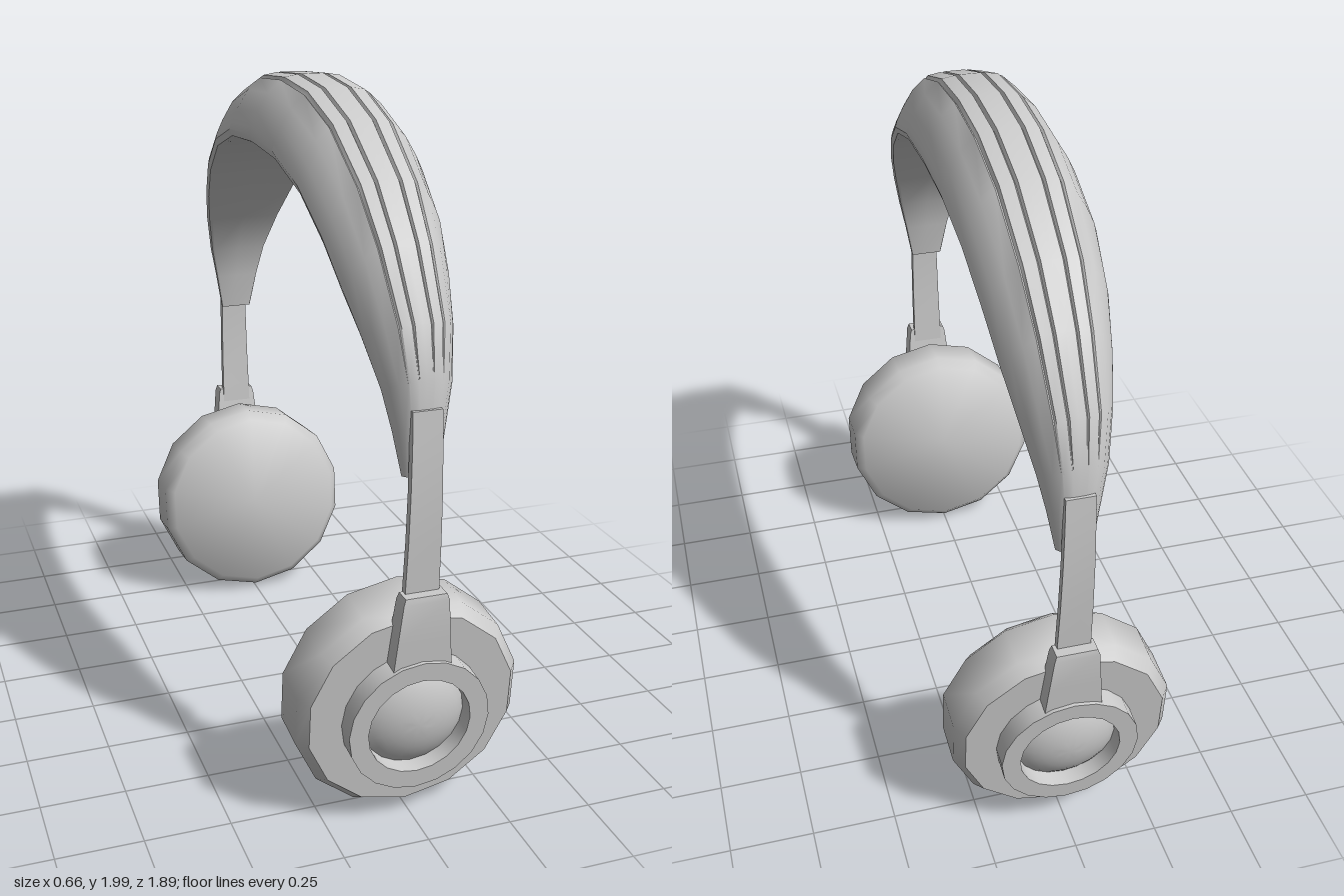
import * as THREE from 'three';
import { toCreasedNormals } from 'three/addons/utils/BufferGeometryUtils.js';

const material = new THREE.MeshStandardMaterial({ color: 0xcccccc });

function part(name, geometry, crease) {
  const mesh = new THREE.Mesh(toCreasedNormals(geometry, crease), material);
  mesh.name = name;
  return mesh;
}

// Skin a list of closed rings of Vector3 and cap both ends.
function loft(rings) {
  const n = rings[0].length, last = rings.length - 1;
  const points = rings.flat(), index = [];
  for (let i = 0; i < last; i++) {
    for (let j = 0; j < n; j++) {
      const k = (j + 1) % n;
      const a = i * n + j, b = i * n + k, c = b + n, d = a + n;
      index.push(a, b, c, a, c, d);
    }
  }
  for (const end of [0, last]) {
    const centre = new THREE.Vector3();
    rings[end].forEach(p => centre.addScaledVector(p, 1 / n));
    const c = points.push(centre) - 1;
    for (let j = 0; j < n; j++) {
      const a = end * n + j, b = end * n + (j + 1) % n;
      if (end === 0) index.push(c, b, a);
      else index.push(c, a, b);
    }
  }
  const geometry = new THREE.BufferGeometry().setFromPoints(points);
  geometry.setIndex(index);
  return geometry;
}

// Rectangular bar; each station is [y, outer z, inner z, half width].
function bar(stations) {
  return loft(stations.map(([y, zo, zi, w]) => [
    new THREE.Vector3(-w, y, zo), new THREE.Vector3(w, y, zo),
    new THREE.Vector3(w, y, zi), new THREE.Vector3(-w, y, zi)]));
}

function lathe(profile, sides) {
  return new THREE.LatheGeometry(profile.map(([r, y]) => new THREE.Vector2(r, y)), sides);
}

// Padded arch: crescent section with four grooves, narrowing to each foot.
function makeHeadband() {
  // [outer z, outer y, inner z, inner y, half width, groove strength]
  const half = [
    [0.900, 1.06, 0.869, 1.06, 0.053, 0],
    [0.908, 1.20, 0.850, 1.18, 0.076, 0],
    [0.906, 1.325, 0.826, 1.287, 0.100, 0.1],
    [0.869, 1.467, 0.747, 1.415, 0.130, 0.7],
    [0.747, 1.65, 0.670, 1.51, 0.153, 1],
    [0.615, 1.79, 0.570, 1.62, 0.172, 1],
    [0.410, 1.92, 0.420, 1.725, 0.187, 1],
    [0.210, 1.983, 0.220, 1.787, 0.195, 1],
  ];
  const stations = [...half, [0, 2, 0, 1.802, 0.197, 1],
    ...half.map(([zo, yo, zi, ...rest]) => [-zo, yo, -zi, ...rest]).reverse()];
  // Half section: [across, inner to outer, groove depth]
  const side = [
    [0.17, 1, 0], [0.2, 1, 0.06], [0.23, 0.995, 0], [0.44, 0.96, 0], [0.47, 0.95, 0.06],
    [0.5, 0.92, 0], [0.7, 0.74, 0], [0.87, 0.46, 0], [0.97, 0.25, 0], [1, 0.14, 0],
    [0.96, 0.03, 0], [0.88, 0, 0],
  ];
  const section = [[0, 1, 0], ...side, [0, 0.03, 0],
    ...side.map(([u, v, g]) => [-u, v, g]).reverse()];
  const rings = stations.map(([zo, yo, zi, yi, w, strength]) =>
    section.map(([u, v, g]) => {
      const t = v - g * strength;
      return new THREE.Vector3(u * w, yi + (yo - yi) * t, zi + (zo - zi) * t);
    }));
  return part('headband', loft(rings), 0.62);
}

// One side: sliding strap, bracket and tilted ear cup.
function makeEarpiece(name) {
  const group = new THREE.Group();
  group.name = name;

  group.add(part('sliderStrap', bar([
    [0.66, 0.905, 0.882, 0.05], [0.75, 0.91, 0.887, 0.049], [0.88, 0.919, 0.896, 0.047],
    [1.02, 0.923, 0.9, 0.045], [1.15, 0.921, 0.898, 0.043], [1.25, 0.916, 0.89, 0.042],
  ]), 0.5));

  group.add(part('bracket', bar([
    [0.51, 0.927, 0.85, 0.085], [0.6, 0.934, 0.87, 0.077],
    [0.715, 0.943, 0.888, 0.066], [0.733, 0.94, 0.891, 0.06],
  ]), 0.4));

  // Cup parts are turned about an axis that leans slightly downwards.
  const cup = new THREE.Group();
  cup.name = 'earCup';
  cup.position.set(0, 0.353, 0.76);
  cup.rotation.x = Math.PI / 2 + 0.104;
  cup.add(part('earCushion', lathe([
    [0, -0.097], [0.308, -0.097], [0.337, -0.066], [0.337, 0.06], [0.308, 0.097], [0, 0.097],
  ], 14), 0.86));

  const housing = part('housingRing', lathe([
    [0.208, 0.05], [0.208, 0.16], [0.152, 0.16], [0.15, 0.11],
  ], 20), 0.6);
  const domeProfile = [];
  for (let i = 0; i <= 6; i++) {
    const a = (1 - i / 6) * 0.75;
    domeProfile.push([0.15 * Math.sin(a) / Math.sin(0.75),
      0.112 + 0.046 * (Math.cos(a) - Math.cos(0.75)) / (1 - Math.cos(0.75))]);
  }
  const dome = part('housingDome', lathe(domeProfile, 20), 0.6);
  for (const mesh of [housing, dome]) {
    mesh.position.z = 0.012;
    cup.add(mesh);
  }
  group.add(cup);
  return group;
}

export function createModel() {
  const model = new THREE.Group();
  model.name = 'headphones';
  const front = makeEarpiece('frontEarpiece');
  const back = makeEarpiece('backEarpiece');
  back.rotation.y = Math.PI;
  model.add(makeHeadband(), front, back);
  return model;
}
